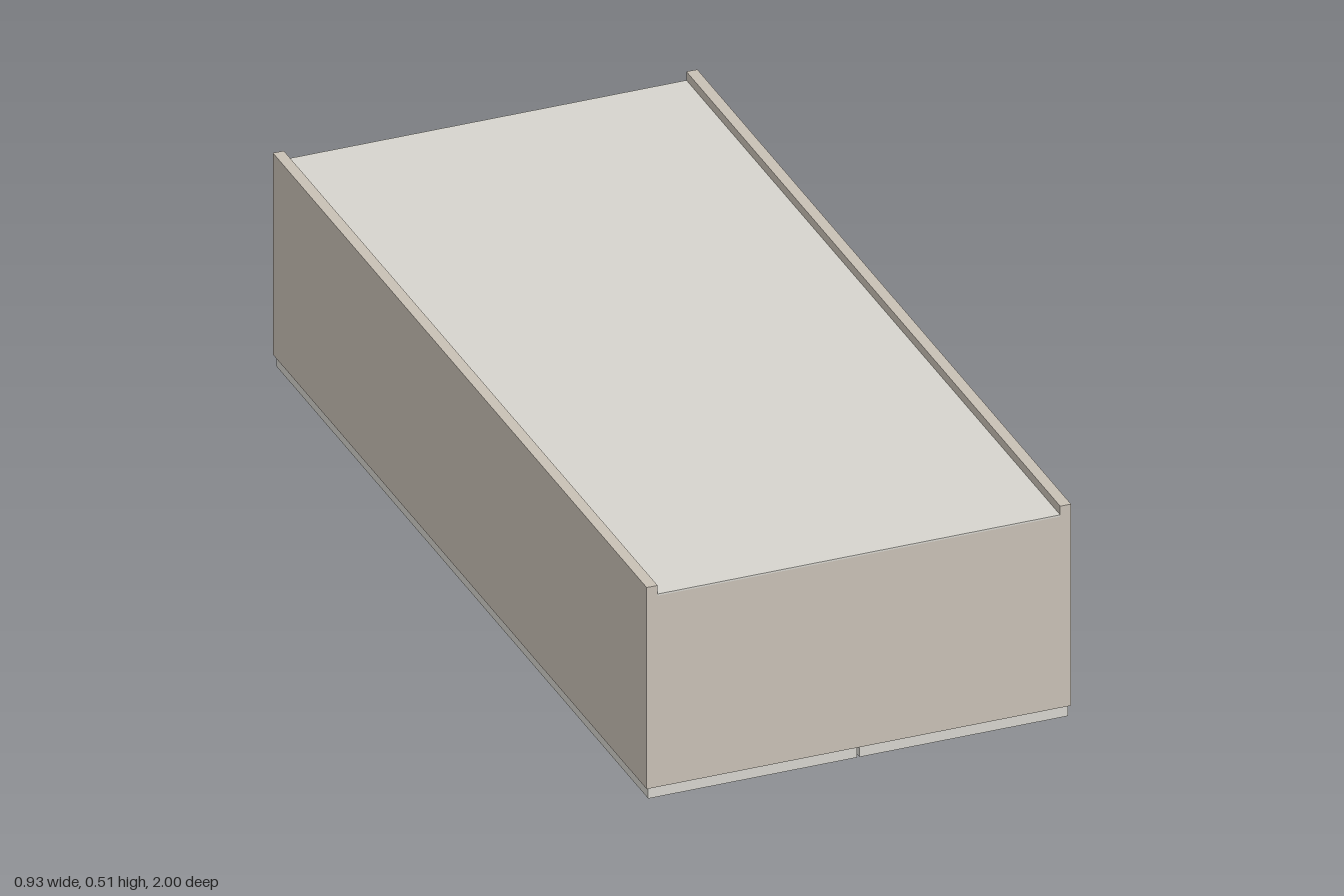
import * as THREE from 'three';

// Two-door cupboard lying on its doors, back panel upwards.
export function createModel() {
  const model = new THREE.Group();
  model.name = 'cupboard';

  const carcassMat = new THREE.MeshStandardMaterial({ color: 0xc8c0b5 });
  const panelMat = new THREE.MeshStandardMaterial({ color: 0xd6d4cd });
  const handleMat = new THREE.MeshStandardMaterial({ color: 0x7c7d82 });

  // Box given by its lower and upper corners
  const box = (name, mat, [x0, y0, z0], [x1, y1, z1]) => {
    const mesh = new THREE.Mesh(new THREE.BoxGeometry(x1 - x0, y1 - y0, z1 - z0), mat);
    mesh.position.set((x0 + x1) / 2, (y0 + y1) / 2, (z0 + z1) / 2);
    mesh.name = name;
    model.add(mesh);
    return mesh;
  };

  const W = 0.467, T = 0.024, inner = W - T;
  const doorBottom = 0.02, carcassBottom = 0.045, backY = 0.488;

  // Recessed back panel between the sides
  box('backPanel', panelMat, [-inner, backY, -1], [inner, 0.492, 1]);

  // End panels between the sides
  box('topPanel', carcassMat, [-inner, carcassBottom, 1 - T], [inner, backY, 1]);
  box('bottomPanel', carcassMat, [-inner, carcassBottom, -1], [inner, backY, -1 + T]);

  for (const [side, s] of [['left', 1], ['right', -1]]) {
    // Side panel, standing proud of the back
    const panel = box(side + 'SidePanel', carcassMat, [inner, carcassBottom, -1], [W, 0.512, 1]);
    panel.position.x *= s;

    // Door with a narrow gap at the middle
    const door = box(side + 'Door', panelMat, [0.003, doorBottom, -0.994], [0.462, carcassBottom, 0.996]);
    door.position.x *= s;

    // Round bar handle
    const handle = new THREE.Mesh(new THREE.CylinderGeometry(0.01, 0.01, 0.148, 16), handleMat);
    handle.rotation.z = Math.PI / 2;
    handle.position.set(s * 0.232, 0.01, 0.88);
    handle.name = side + 'Handle';
    model.add(handle);
  }

  return model;
}
